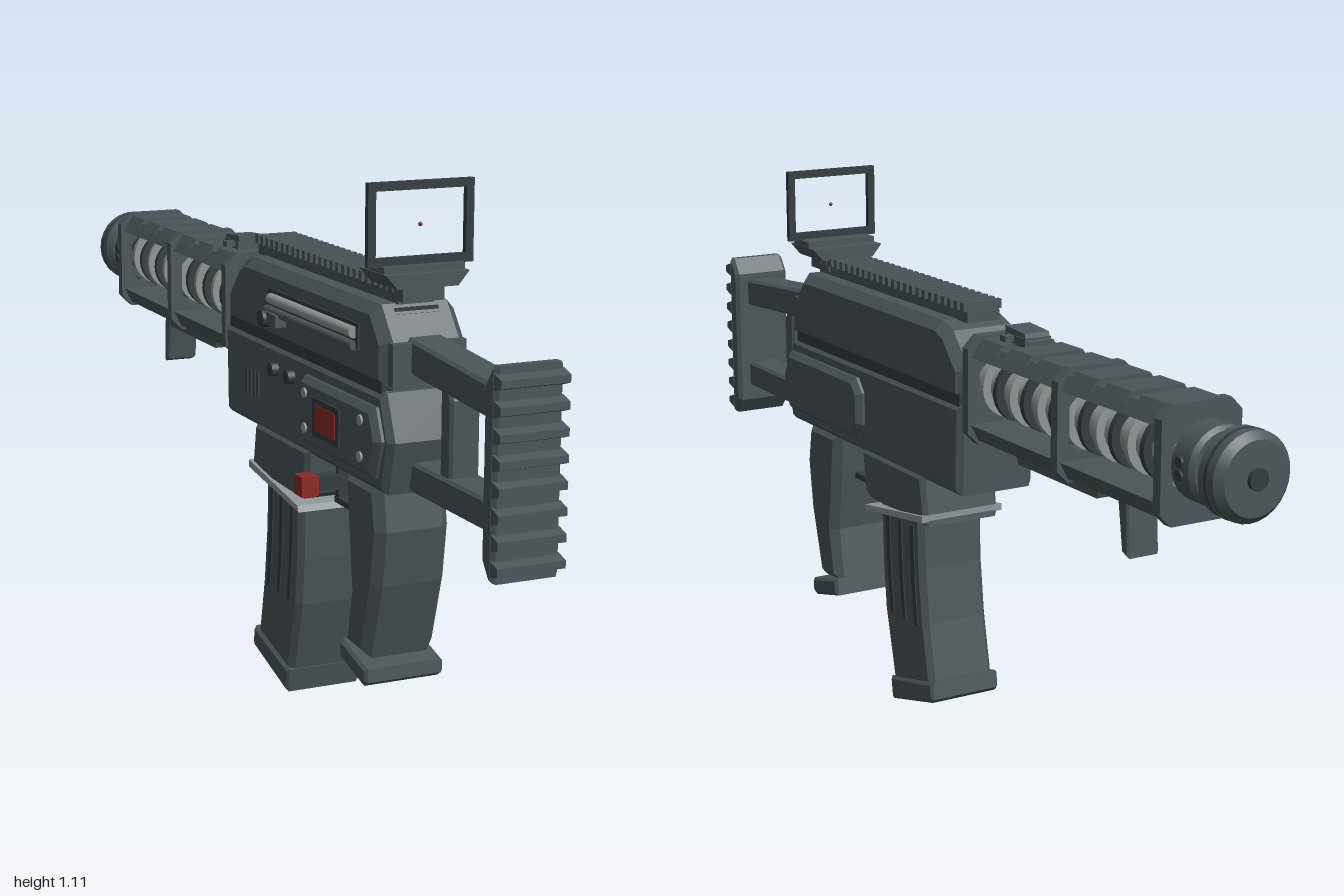
import * as THREE from 'three';

export function createModel() {
  const root = new THREE.Group();
  root.name = 'carbine';
  root.position.x = 0.004;
  const material = (name, color) => {
    const m = new THREE.MeshStandardMaterial({ color });
    m.name = name;
    return m;
  };
  const gunmetal = material('gunmetal', 0x4b5558);
  const dark = material('dark metal', 0x353c3f);
  const steel = material('steel', 0x8f9697);
  const red = material('red', 0x8c2b24);

  const add = (name, geometry, mat = gunmetal, x = 0, y = 0, z = 0) => {
    const mesh = new THREE.Mesh(geometry, mat);
    mesh.name = name;
    mesh.position.set(x, y, z);
    root.add(mesh);
    return mesh;
  };
  const box = (name, w, h, d, x, y, z, mat) => add(name, new THREE.BoxGeometry(w, h, d), mat, x, y, z);
  // side outline given as [z, y], extruded across x with chamfered edges
  const side = (name, pts, half, bevel = 0, mat = gunmetal, x = 0) => {
    const shape = new THREE.Shape(pts.map(([z, y]) => new THREE.Vector2(z, y)));
    const depth = 2 * (half - bevel);
    const g = new THREE.ExtrudeGeometry(shape, {
      depth, bevelEnabled: bevel > 0, bevelThickness: bevel, bevelSize: bevel, bevelOffset: -bevel, bevelSegments: 1,
    });
    g.translate(0, 0, -depth / 2).rotateY(-Math.PI / 2);
    return add(name, g, mat, x);
  };
  // front outline given as [x, y], extruded from z0 to z1
  const front = (name, pts, z0, z1, mat = gunmetal, hole) => {
    const shape = new THREE.Shape(pts.map(([x, y]) => new THREE.Vector2(x, y)));
    if (hole) shape.holes.push(new THREE.Path(hole.map(([x, y]) => new THREE.Vector2(x, y))));
    return add(name, new THREE.ExtrudeGeometry(shape, { depth: z1 - z0, bevelEnabled: false }), mat, 0, 0, z0);
  };
  // round section along z; r0 at z0 and r1 at z1
  const AXIS = 0.77;
  const round = (name, r0, r1, z0, z1, mat, x = 0, y = AXIS) => {
    const g = new THREE.CylinderGeometry(r1, r0, z1 - z0, 28).rotateX(Math.PI / 2);
    return add(name, g, mat, x, y, (z0 + z1) / 2);
  };
  const rect = (w, y0, y1) => [[-w, y0], [w, y0], [w, y1], [-w, y1]];

  // receiver
  side('upperReceiver', [[0.60, 0.73], [0.60, 0.82], [0.55, 0.883], [-0.05, 0.883], [-0.09, 0.868], [-0.15, 0.8], [-0.15, 0.73]], 0.087, 0.02);
  side('receiverSeam', [[0.585, 0.715], [0.585, 0.75], [-0.14, 0.75], [-0.14, 0.715]], 0.083, 0, dark);
  side('lowerReceiver', [[0.61, 0.537], [0.635, 0.64], [0.60, 0.728], [-0.152, 0.728], [-0.147, 0.537]], 0.09, 0.012);
  for (const s of [-1, 1]) {
    side('sidePanel', [[0.59, 0.565], [0.615, 0.64], [0.59, 0.7], [0.275, 0.7], [0.25, 0.67], [0.25, 0.6], [0.275, 0.565]], 0.016, 0.012, gunmetal, s * 0.092);
  }
  box('rearCollar', 0.15, 0.08, 0.02, 0, 0.78, 0.605, gunmetal);
  for (let i = 0; i < 3; i++) box('rearVent', 0.09, 0.007, 0.008, 0, 0.85 + i * 0.011, 0.565 - i * 0.004, dark);

  // top rail
  box('railBase', 0.075, 0.022, 0.65, 0, 0.892, 0.23);
  for (let i = 0; i < 25; i++) box('railTooth', 0.09, 0.019, 0.013, 0, 0.913, -0.085 + i * 0.0262);

  // holographic sight
  box('sightClamp', 0.085, 0.04, 0.085, 0, 0.91, 0.545);
  front('sightBase', [[-0.062, 0.918], [0.062, 0.918], [0.085, 0.945], [-0.085, 0.945]], 0.49, 0.605);
  box('sightFoot', 0.165, 0.015, 0.07, 0, 0.95, 0.555);
  front('sightFrame', rect(0.108, 0.955, 1.11), 0.563, 0.575, dark, rect(0.092, 0.972, 1.094));
  add('sightDot', new THREE.SphereGeometry(0.004, 10, 8), red, 0, 1.03, 0.57);

  // stock
  side('upperStockBar', [[0.95, 0.738], [0.95, 0.8], [0.58, 0.828], [0.58, 0.762]], 0.037, 0.006);
  side('lowerStockBar', [[0.95, 0.54], [0.95, 0.598], [0.58, 0.598], [0.58, 0.54]], 0.037, 0.006);
  side('stockStrut', [[0.757, 0.59], [0.757, 0.74], [0.74, 0.77], [0.715, 0.77], [0.715, 0.59]], 0.03, 0.006);
  side('buttPlate', [[0.94, 0.505], [0.94, 0.815], [0.965, 0.85], [0.98, 0.85], [0.98, 0.47], [0.965, 0.47]], 0.067, 0.008);
  for (let i = 0; i < 8; i++) {
    const y = 0.497 + i * 0.0465;
    side('buttRib', [[0.975, y - 0.015], [1.0, y - 0.007], [1.0, y + 0.007], [0.975, y + 0.015]], 0.067);
  }

  // pistol grip and trigger
  side('grip', [[0.55, 0.54], [0.565, 0.45], [0.55, 0.34], [0.505, 0.185], [0.415, 0.19], [0.437, 0.31], [0.42, 0.45], [0.412, 0.54]], 0.077, 0.018);
  side('gripFoot', [[0.528, 0.172], [0.415, 0.2], [0.408, 0.162], [0.515, 0.135], [0.53, 0.145]], 0.084, 0.006);
  box('triggerGuard', 0.05, 0.012, 0.17, 0, 0.437, 0.345, dark);
  box('triggerGuardPost', 0.05, 0.11, 0.012, 0, 0.487, 0.272, dark);
  side('trigger', [[0.395, 0.54], [0.385, 0.505], [0.362, 0.465], [0.358, 0.5], [0.366, 0.54]], 0.014, 0, steel);

  // magazine well and magazine
  side('magazineWell', [[0.27, 0.545], [0.255, 0.45], [0.235, 0.437], [-0.012, 0.437], [0.005, 0.545]], 0.09, 0.01);
  side('magazineLip', [[0.245, 0.412], [0.24, 0.425], [-0.01, 0.462], [-0.01, 0.447]], 0.097, 0, steel);
  side('magazine', [[0.21, 0.44], [0.205, 0.3], [0.195, 0.2], [0.155, 0.04], [-0.012, 0.08], [0.015, 0.21], [0.03, 0.33], [0.035, 0.45]], 0.077, 0.012);
  for (const s of [-1, 1]) for (let i = 0; i < 3; i++) {
    const z = 0.172 - i * 0.052;
    side('magazineGroove', [[z + 0.008, 0.42], [z - 0.008, 0.42], [z - 0.014, 0.3], [z - 0.026, 0.2], [z - 0.012, 0.2], [z + 0.002, 0.3]], 0.002, 0, dark, s * 0.0775);
  }
  side('magazineFoot', [[0.16, 0.05], [-0.02, 0.092], [-0.026, 0.055], [-0.018, 0.046], [0.152, 0.0]], 0.083, 0.006);

  // handguard: frames, chamfered top and bottom shells, corner rails
  const octagon = (w, c, y0, y1) => [[-w + c, y0], [w - c, y0], [w, y0 + c], [w, y1 - c], [w - c, y1], [-w + c, y1], [-w, y1 - c], [-w, y0 + c]];
  for (const z of [-0.18, -0.505, -0.835]) {
    front('handguardFrame', octagon(0.087, 0.025, 0.652, 0.874), z, z + 0.022, gunmetal, octagon(0.06, 0.02, 0.71, 0.82));
  }
  front('topShell', [[-0.08, 0.832], [0.08, 0.832], [0.062, 0.86], [-0.062, 0.86]], -0.825, -0.165);
  front('bottomShell', [[-0.062, 0.66], [0.062, 0.66], [0.08, 0.694], [-0.08, 0.694]], -0.825, -0.165);
  for (const base of [-0.82, -0.49]) for (let i = 0; i < 3; i++) {
    const z = base + 0.015 + i * 0.105;
    front('topPlate', [[-0.072, 0.85], [0.072, 0.85], [0.058, 0.87], [-0.058, 0.87]], z, z + 0.075);
  }

  // barrel with cooling rings
  round('barrel', 0.046, 0.046, -0.86, -0.14, steel);
  for (let i = 0; i < 13; i++) {
    const z = -0.8 + i * 0.05;
    round('coolingRing', 0.064, 0.064, z, z + 0.013, i % 2 ? dark : steel);
  }

  // muzzle
  round('muzzleNeck', 0.055, 0.055, -0.95, -0.83, dark);
  const collar = (z0, z1, r, b) => {
    round('muzzleCollar', r - b, r, z0, z0 + b, gunmetal);
    round('muzzleCollar', r, r, z0 + b, z1 - b, gunmetal);
    round('muzzleCollar', r, r - b, z1 - b, z1, gunmetal);
  };
  collar(-0.905, -0.84, 0.075, 0.008);
  collar(-0.992, -0.922, 0.083, 0.014);
  round('muzzleGroove', 0.084, 0.084, -0.96, -0.953, dark);
  round('bore', 0.02, 0.02, -1.0, -0.98, dark);
  for (const s of [-1, 1]) add('collarScrew', new THREE.CylinderGeometry(0.01, 0.01, 0.156, 12).rotateZ(Math.PI / 2), dark, 0, AXIS + s * 0.012, -0.872);

  // handguard accessories
  side('lowerRail', [[-0.3, 0.67], [-0.31, 0.64], [-0.585, 0.64], [-0.595, 0.67]], 0.05);
  side('foldingGrip', [[-0.615, 0.665], [-0.63, 0.645], [-0.645, 0.55], [-0.667, 0.542], [-0.662, 0.645], [-0.672, 0.665]], 0.035, 0.004);
  box('frontSightBase', 0.06, 0.018, 0.075, 0, 0.877, -0.262);
  side('frontSightLeaf', [[-0.225, 0.885], [-0.225, 0.9], [-0.295, 0.895], [-0.3, 0.88], [-0.26, 0.877]], 0.028);
  box('frontSightArm', 0.1, 0.012, 0.02, 0, 0.88, -0.25);

  // right-hand controls
  const knob = (name, r, h, y, z, mat, x = -0.09) => add(name, new THREE.CylinderGeometry(r, r, h, 16).rotateZ(Math.PI / 2), mat, x, y, z);
  side('boltSlot', [[0.5, 0.79], [0.5, 0.84], [0.08, 0.84], [0.06, 0.79]], 0.004, 0, dark, -0.087);
  round('boltRod', 0.011, 0.011, 0.1, 0.49, steel, -0.094, 0.822);
  round('guideRod', 0.009, 0.009, 0.08, 0.49, gunmetal, -0.094, 0.797);
  box('chargingArm', 0.03, 0.025, 0.06, -0.095, 0.785, 0.13, gunmetal);
  knob('chargingHandle', 0.018, 0.035, 0.782, 0.1, dark, -0.1);
  side('selectorPlate', [[0.46, 0.595], [0.46, 0.67], [0.34, 0.67], [0.34, 0.595]], 0.004, 0, dark, -0.107);
  side('selectorSwitch', [[0.445, 0.607], [0.445, 0.658], [0.355, 0.658], [0.355, 0.607]], 0.004, 0, red, -0.109);
  for (const [y, z] of [[0.67, 0.55], [0.6, 0.55], [0.67, 0.3], [0.6, 0.3]]) knob('panelBolt', 0.01, 0.008, y, z, steel, -0.108);
  for (const z of [0.12, 0.2]) knob('sideButton', 0.014, 0.02, 0.68, z, dark, -0.095);
  for (let i = 0; i < 4; i++) box('sideVent', 0.006, 0.05, 0.008, -0.091, 0.63, -0.03 + i * 0.02, dark);
  box('releaseCatch', 0.036, 0.04, 0.04, -0.098, 0.48, 0.285, red);
  box('releaseMount', 0.06, 0.03, 0.03, -0.06, 0.48, 0.28, dark);

  return root;
}
